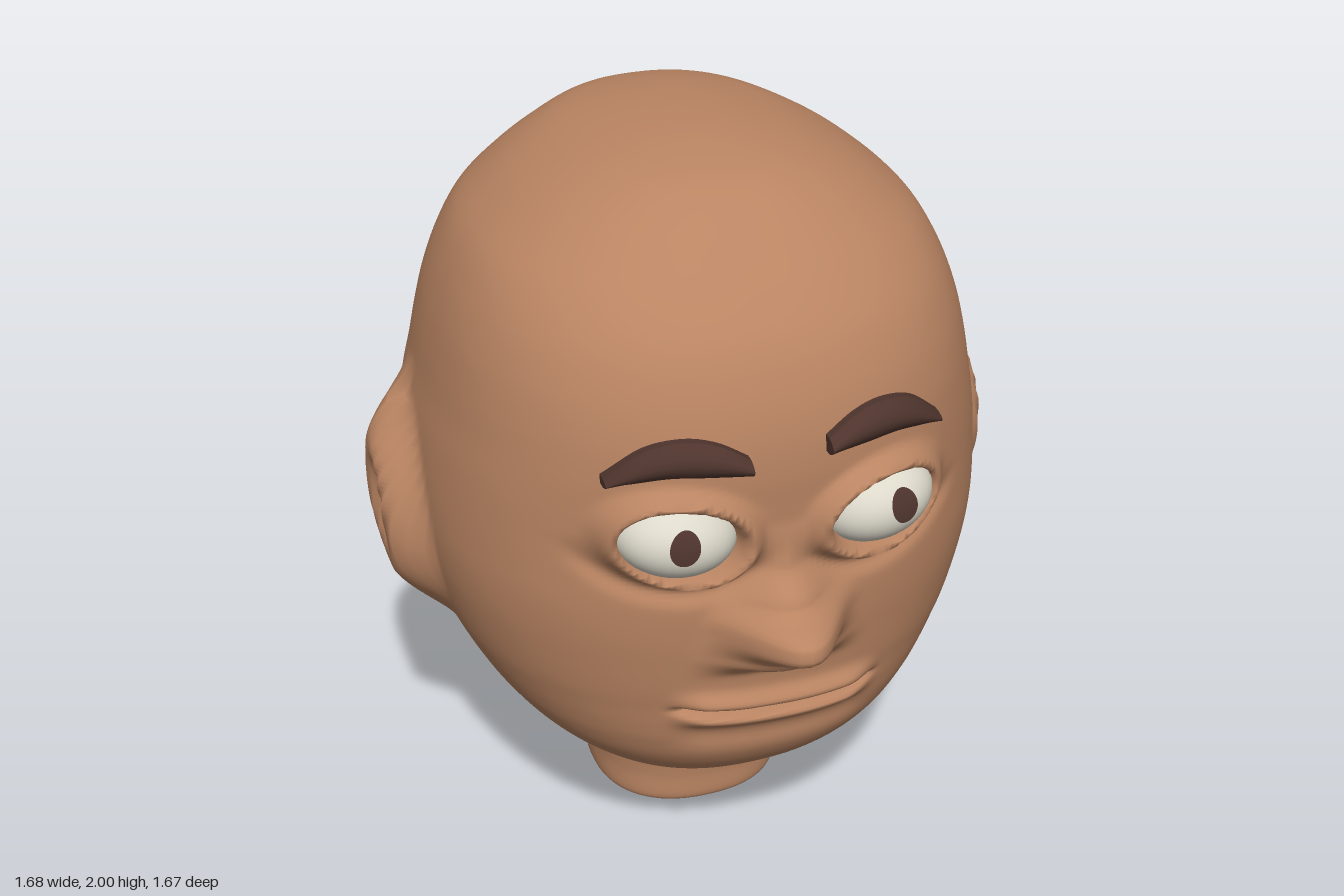
import * as THREE from 'three';

const skin = new THREE.MeshStandardMaterial({ name: 'skin', color: 0xb98462 });
const eyeWhite = new THREE.MeshStandardMaterial({ name: 'eyeWhite', color: 0xdcd8ca });
const darkBrown = new THREE.MeshStandardMaterial({ name: 'darkBrown', color: 0x4e342d });

// Head cross-sections: height, half width, front z, back z
const sections = [
  [0, 0.24, 0.09, -0.37], [0.02, 0.265, 0.12, -0.41], [0.1, 0.27, 0.125, -0.455], [0.17, 0.28, 0.14, -0.5],
  [0.23, 0.3, 0.19, -0.54], [0.29, 0.34, 0.3, -0.58], [0.36, 0.42, 0.425, -0.615], [0.43, 0.49, 0.505, -0.65],
  [0.5, 0.55, 0.555, -0.685], [0.57, 0.6, 0.58, -0.715], [0.63, 0.635, 0.592, -0.74], [0.69, 0.665, 0.6, -0.76],
  [0.75, 0.69, 0.61, -0.78], [0.83, 0.715, 0.62, -0.805], [0.92, 0.735, 0.63, -0.823], [1.01, 0.745, 0.635, -0.832],
  [1.1, 0.745, 0.635, -0.835], [1.19, 0.738, 0.637, -0.832], [1.28, 0.725, 0.642, -0.825], [1.37, 0.705, 0.645, -0.81],
  [1.47, 0.685, 0.635, -0.79], [1.57, 0.66, 0.608, -0.76], [1.67, 0.622, 0.56, -0.72], [1.76, 0.57, 0.485, -0.67],
  [1.83, 0.495, 0.41, -0.62], [1.89, 0.41, 0.335, -0.57], [1.945, 0.3, 0.24, -0.515], [1.975, 0.2, 0.13, -0.42],
  [1.994, 0.1, 0, -0.29], [2, 0, -0.14, -0.14],
];
const heightWidth = new THREE.SplineCurve(sections.map(s => new THREE.Vector2(s[0], s[1])));
const frontBack = new THREE.SplineCurve(sections.map(s => new THREE.Vector2(s[2], s[3])));
const POWER = 2.3;

function sectionAt(t) {
  const a = heightWidth.getPoint(t), b = frontBack.getPoint(t);
  return { y: a.x, w: Math.max(a.y, 0), cz: (b.x + b.y) / 2, d: Math.max((b.x - b.y) / 2, 0) };
}

// Depth of the plain face surface at x, y
function faceZ(x, y) {
  let lo = 0, hi = 1;
  for (let i = 0; i < 30; i++) {
    const mid = (lo + hi) / 2;
    if (sectionAt(mid).y < y) lo = mid; else hi = mid;
  }
  const s = sectionAt(lo);
  return s.cz + s.d * Math.pow(Math.max(0, 1 - Math.pow(Math.abs(x) / s.w, POWER)), 1 / POWER);
}

const step = THREE.MathUtils.smoothstep;
const bell = (v, width) => Math.exp(-(v * v) / (width * width));

// Piecewise interpolation through [position, value] pairs, eased between them
function ease(pairs, v) {
  if (v <= pairs[0][0]) return pairs[0][1];
  for (let i = 1; i < pairs.length; i++) {
    const [p, a] = pairs[i - 1], [q, b] = pairs[i];
    if (v <= q) return a + (b - a) * step(v, p, q);
  }
  return pairs[pairs.length - 1][1];
}

const EYE = { x: 0.257, y: 1.222, z: 0.56, rx: 0.155, ry: 0.108, rz: 0.13, tilt: 0.13 };
const noseHeight = [[0.79, 0], [0.87, 0.1], [0.95, 0.2], [0.98, 0.195], [1.04, 0.09], [1.12, 0.03], [1.25, 0]];
const noseWidth = [[0.85, 0.25], [0.96, 0.22], [1.12, 0.13], [1.25, 0.1]];

// Sculpt nose, eyelids, lips and ears out of the plain head
function sculpt(p) {
  const { x, y, z } = p;
  const side = Math.sign(x), ax = Math.abs(x);
  if (z > 0.2) {
    const n = Math.min(1, ax / ease(noseWidth, y));
    p.z += ease(noseHeight, y) * 0.5 * (1 + Math.cos(Math.PI * n));

    const dx = ax - EYE.x, dy = y - EYE.y;
    const u = dx * Math.cos(EYE.tilt) + dy * Math.sin(EYE.tilt);
    const v = dy * Math.cos(EYE.tilt) - dx * Math.sin(EYE.tilt);
    const r = Math.hypot(u / 0.145, v / 0.098);
    p.z += 0.055 * bell(r - 1.12, 0.2) - 0.07 * (1 - step(r, 0.8, 1.05));
    p.z -= 0.018 * bell(r - 1.65, 0.25) * step(-dy, 0, 0.1);

    const line = 0.671 - 0.04 * (x - 0.01) + 0.12 * x * x;
    const fade = 1 - step(Math.abs(x - 0.01), 0.18, 0.3);
    const m = y - line;
    p.z += fade * (0.032 * bell(m - 0.028, 0.028) + 0.026 * bell(m + 0.028, 0.026) - 0.06 * bell(m, 0.011));
    p.z -= 0.012 * fade * bell(m + 0.09, 0.04);
  }
  if (ax > 0.4) {
    const u = z + 0.125 + 0.2 * (y - 1), v = y - 1.01;
    const e = Math.hypot(u / 0.12, v / 0.195);
    const reach = u < 0 ? 1.95 : 1.6;
    const hollow = Math.hypot((u - 0.01) / 0.085, v / 0.14);
    p.x += side * (0.097 * (1 - step(e, 0.85, reach)) - 0.045 * (1 - step(hollow, 0.3, 1.1)));
  }
}

function makeHead() {
  const rows = 232, cols = 220, pos = [], index = [];
  for (let i = -2; i <= rows; i++) {
    const s = sectionAt(Math.max(0, i) / rows);
    const scale = i === -2 ? 0 : i === -1 ? 0.96 : 1; // the first rows close the neck
    for (let j = 0; j < cols; j++) {
      const q = (j / cols) * Math.PI * 2 - Math.PI;
      const a = q - 0.3 * Math.sin(q); // more columns on the face
      const sn = Math.sin(a), cs = Math.cos(a);
      const round = v => Math.sign(v) * Math.pow(Math.abs(v), 2 / POWER);
      const p = new THREE.Vector3(s.w * scale * round(sn), s.y, s.cz + s.d * scale * round(cs));
      if (s.y > 0.4 && s.y < 1.7) sculpt(p);
      pos.push(p.x, p.y, p.z);
    }
  }
  for (let i = 0; i < rows + 2; i++) {
    for (let j = 0; j < cols; j++) {
      const k = (j + 1) % cols;
      const a = i * cols + j, b = i * cols + k, c = a + cols, d = b + cols;
      index.push(a, b, d, a, d, c);
    }
  }
  const g = new THREE.BufferGeometry();
  g.setAttribute('position', new THREE.Float32BufferAttribute(pos, 3));
  g.setIndex(index);
  g.computeVertexNormals();
  const mesh = new THREE.Mesh(g, skin);
  mesh.name = 'head';
  return mesh;
}

function makeEye(side) {
  const eye = new THREE.Group();
  eye.name = side > 0 ? 'leftEye' : 'rightEye';
  const ball = new THREE.Mesh(new THREE.SphereGeometry(1, 40, 28), eyeWhite);
  ball.name = 'eyeball';
  ball.scale.set(EYE.rx, EYE.ry, EYE.rz);

  // Thin pupil disc curved to the eyeball
  const disc = new THREE.CircleGeometry(1, 32);
  const p = disc.attributes.position;
  for (let i = 0; i < p.count; i++) {
    const x = p.getX(i) * 0.037 + 0.01, y = p.getY(i) * 0.043 + 0.023;
    p.setXYZ(i, x, y, EYE.rz * Math.sqrt(1 - (x / EYE.rx) ** 2 - (y / EYE.ry) ** 2) + 0.005);
  }
  disc.computeVertexNormals();
  const pupil = new THREE.Mesh(disc, darkBrown);
  pupil.name = 'pupil';

  eye.add(ball, pupil);
  eye.position.set(side * EYE.x, EYE.y, EYE.z);
  eye.rotation.set(0, side * 0.2, side * EYE.tilt);
  return eye;
}

// Arched brow laid over the face; the left one sits slightly higher
function makeBrow(side) {
  const lift = side > 0 ? 0.018 : 0;
  const bottom = [[0.098, 1.396], [0.2, 1.403], [0.3, 1.402], [0.427, 1.372]];
  const top = [[0.098, 1.438], [0.17, 1.478], [0.25, 1.491], [0.34, 1.467], [0.427, 1.395]];
  const curve = pts => new THREE.SplineCurve(pts.map(q => new THREE.Vector2(q[0], q[1])));
  const low = curve(bottom), high = curve(top);
  const g = new THREE.BoxGeometry(1, 1, 1, 24, 6, 1);
  const p = g.attributes.position;
  for (let i = 0; i < p.count; i++) {
    const t = (p.getX(i) * side) + 0.5, v = p.getY(i) + 0.5;
    const q = low.getPoint(t).lerp(high.getPoint(t), v);
    const thick = 0.022 + 0.025 * (1 - (2 * v - 1) ** 2);
    const z = faceZ(q.x, q.y + lift) + (p.getZ(i) > 0 ? thick : -0.03);
    p.setXYZ(i, side * q.x, q.y + lift, z);
  }
  g.computeVertexNormals();
  const mesh = new THREE.Mesh(g, darkBrown);
  mesh.name = side > 0 ? 'leftEyebrow' : 'rightEyebrow';
  return mesh;
}

export function createModel() {
  const model = new THREE.Group();
  model.name = 'headBust';
  model.add(makeHead());
  for (const side of [-1, 1]) model.add(makeEye(side), makeBrow(side));
  return model;
}
